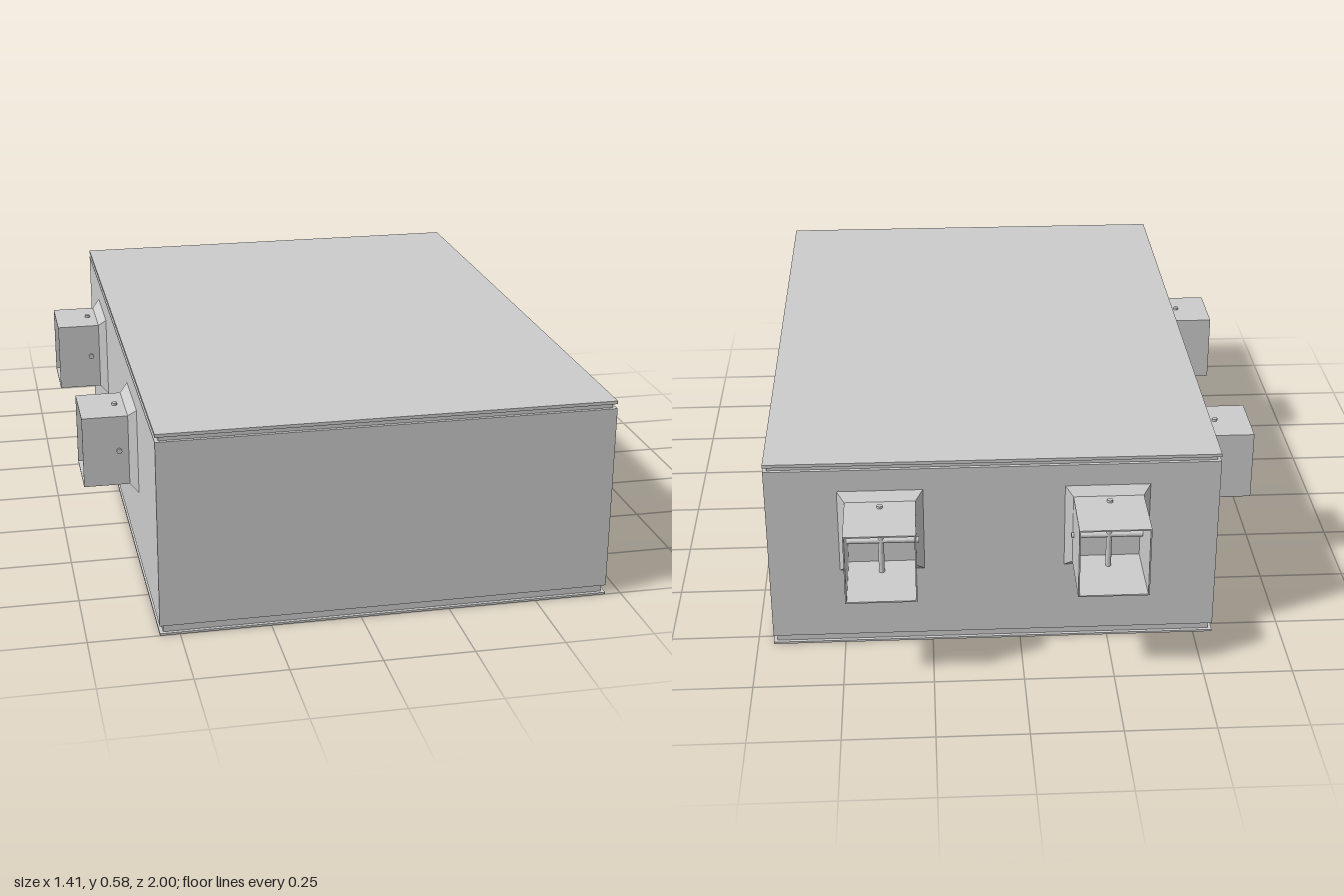
import * as THREE from 'three';

const mat = new THREE.MeshStandardMaterial({ color: 0xcccccc, flatShading: true });

// Housing extents and duct section
const X0 = -0.555, X1 = 0.705, Z0 = -0.79, Z1 = 1;
const DUCT_W = 0.195, DUCT_H = 0.207, DUCT_Y = 0.367, WALL = 0.004;

function add(parent, geometry, name) {
  const mesh = new THREE.Mesh(geometry, mat);
  mesh.name = name;
  parent.add(mesh);
  return mesh;
}

// Housing layer between two heights, inset from the outer walls
function layer(parent, name, y0, y1, inset = 0) {
  const mesh = add(parent, new THREE.BoxGeometry(X1 - X0 - 2 * inset, y1 - y0, Z1 - Z0 - 2 * inset), name);
  mesh.position.set((X0 + X1) / 2, (y0 + y1) / 2, (Z0 + Z1) / 2);
}

function rectPath(path, w, h) {
  path.moveTo(-w / 2, -h / 2);
  path.lineTo(w / 2, -h / 2);
  path.lineTo(w / 2, h / 2);
  path.lineTo(-w / 2, h / 2);
  path.closePath();
  return path;
}

// Open square duct pointing along -z, with flared collar and cross pins
function makeDuct(name, length, pinAt) {
  const duct = new THREE.Group();
  duct.name = name;

  const section = rectPath(new THREE.Shape(), DUCT_W, DUCT_H);
  section.holes.push(rectPath(new THREE.Path(), DUCT_W - 2 * WALL, DUCT_H - 2 * WALL));
  const tube = new THREE.ExtrudeGeometry(section, { depth: length, bevelEnabled: false });
  add(duct, tube.translate(0, 0, -length), 'ductTube');

  const depth = 0.023, base = DUCT_W + 0.042;
  const collar = new THREE.CylinderGeometry(DUCT_W * Math.SQRT1_2, base * Math.SQRT1_2, depth, 4, 1, true, Math.PI / 4);
  collar.rotateX(-Math.PI / 2).scale(1, DUCT_H / DUCT_W, 1).translate(0, 0, -depth / 2);
  add(duct, collar, 'ductCollar');

  for (const [size, turn] of [[DUCT_W, Math.PI / 2], [DUCT_H, 0]]) {
    const pin = add(duct, new THREE.CylinderGeometry(0.008, 0.008, size + 0.014, 12), 'ductPin');
    pin.rotation.z = turn;
    pin.position.z = -pinAt;
  }
  return duct;
}

export function createModel() {
  const model = new THREE.Group();
  model.name = 'ductBox';

  // Housing: walls, with recessed seams under the lid and above the base
  layer(model, 'basePlate', 0, 0.006);
  layer(model, 'baseSeam', 0.006, 0.028, 0.01);
  layer(model, 'housingWalls', 0.028, 0.558);
  layer(model, 'lidSeam', 0.558, 0.571, 0.01);
  layer(model, 'lid', 0.571, 0.58);

  // Two ducts on the back
  for (const x of [-0.242, 0.388]) {
    const duct = makeDuct('backDuct', 0.21, 0.055);
    duct.position.set(x, DUCT_Y, Z0);
    model.add(duct);
  }

  // Two shorter ducts on the -x side
  for (const z of [-0.372, 0.468]) {
    const duct = makeDuct('sideDuct', 0.153, 0.05);
    duct.position.set(X0, DUCT_Y, z);
    duct.rotation.y = Math.PI / 2;
    model.add(duct);
  }
  return model;
}
